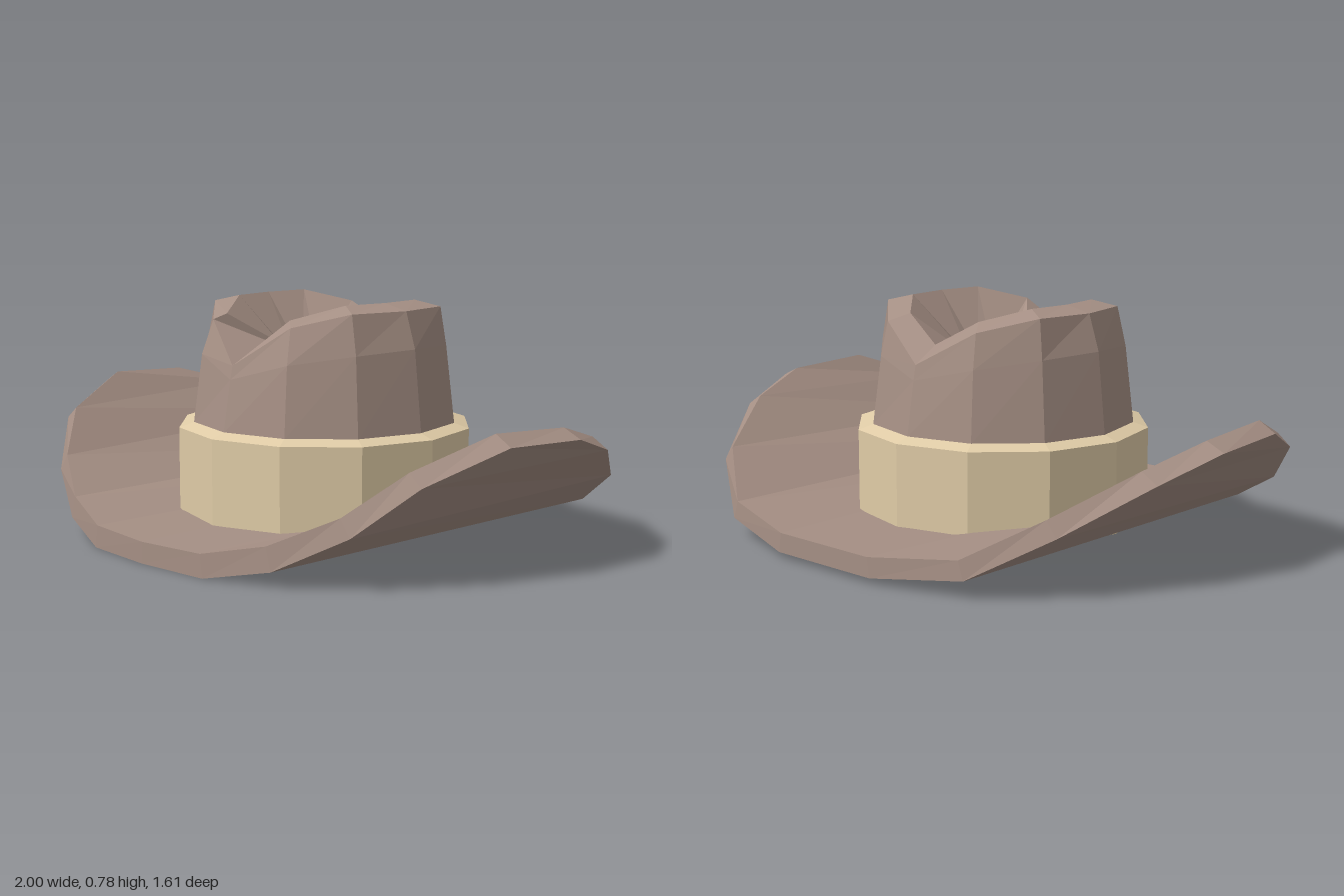
import * as THREE from 'three';

// flat-shaded mesh from a list of quads, each with corners counter-clockwise
function quadMesh(name, quads, color) {
  const pos = [];
  for (const [a, b, c, d] of quads) pos.push(...a, ...b, ...c, ...a, ...c, ...d);
  const geo = new THREE.BufferGeometry();
  geo.setAttribute('position', new THREE.Float32BufferAttribute(pos, 3));
  geo.computeVertexNormals();
  const mesh = new THREE.Mesh(geo, new THREE.MeshStandardMaterial({ color, flatShading: true }));
  mesh.name = name;
  return mesh;
}

const flip = ([x, y, z]) => [-x, y, z];

// mirror a half chain that starts on or beside the centre line
const bothSides = (centre, half) => [...half.map(flip).reverse(), centre, ...half];

// mirror a half ring running from front (+z) round +x to back
const fullRing = (half) => [...half, ...half.slice(1, -1).reverse().map(flip)];

// level twelve-sided half ring; y may be one height or seven
const level = (r, y) => Array.from({ length: 7 }, (_, i) => {
  const a = (i * Math.PI) / 6;
  return [r * Math.sin(a), Array.isArray(y) ? y[i] : y, r * Math.cos(a)];
});

function loft(halfRings) {
  const rings = halfRings.map(fullRing);
  const quads = [];
  for (let i = 0; i < rings.length - 1; i++) {
    const lo = rings[i], hi = rings[i + 1], n = lo.length;
    for (let j = 0; j < n; j++) {
      const k = (j + 1) % n;
      quads.push([lo[j], lo[k], hi[k], hi[j]]);
    }
  }
  return quads;
}

function createBrim(color) {
  // underside and upper edges, front and back, from the centre outwards
  const fb = bothSides([0, 0, 0.8],
    [[0.27, 0, 0.78], [0.5, 0.05, 0.71], [0.72, 0.17, 0.6], [0.87, 0.32, 0.46], [0.98, 0.42, 0.2]]);
  const ft = bothSides([0, 0.07, 0.8],
    [[0.26, 0.075, 0.78], [0.48, 0.125, 0.71], [0.68, 0.225, 0.6], [0.82, 0.36, 0.46], [0.92, 0.455, 0.2]]);
  const bb = bothSides([0, 0.02, -0.805],
    [[0.21, 0.02, -0.805], [0.53, 0.06, -0.73], [0.76, 0.2, -0.58], [0.93, 0.34, -0.33], [1, 0.41, -0.1]]);
  const bt = bothSides([0, 0.085, -0.805],
    [[0.2, 0.085, -0.805], [0.51, 0.12, -0.73], [0.72, 0.25, -0.58], [0.87, 0.375, -0.33], [0.935, 0.44, -0.1]]);
  const quads = [];
  const last = fb.length - 1;
  for (let i = 0; i < last; i++) {
    const k = i + 1;
    quads.push([ft[i], ft[k], bt[k], bt[i]]); // upper surface
    quads.push([bb[i], bb[k], fb[k], fb[i]]); // underside
    quads.push([fb[i], fb[k], ft[k], ft[i]]); // front edge
    quads.push([bb[k], bb[i], bt[i], bt[k]]); // back edge
  }
  quads.push([fb[last], bb[last], bt[last], ft[last]]);
  quads.push([bb[0], fb[0], ft[0], bt[0]]);
  return quadMesh('brim', quads, color);
}

function createCrown(color) {
  // shoulder and rim dip at front and back; the front rim is pinched inwards
  const shoulder = [[0, 0.585, 0.41], [0.19, 0.715, 0.33], [0.335, 0.76, 0.2], [0.38, 0.76, 0],
    [0.345, 0.76, -0.2], [0.2, 0.715, -0.34], [0, 0.6, -0.41]];
  const rim = [[0, 0.6, 0.12], [0.155, 0.735, 0.3], [0.26, 0.78, 0.155], [0.285, 0.78, 0],
    [0.27, 0.78, -0.155], [0.155, 0.74, -0.28], [0, 0.655, -0.32]];
  return quadMesh('crown', loft([
    level(0.45, 0.06),
    level(0.45, 0.37),
    level(0.42, [0.54, 0.6, 0.63, 0.64, 0.63, 0.6, 0.55]),
    shoulder,
    rim,
    level(0.11, [0.585, 0.575, 0.57, 0.57, 0.57, 0.57, 0.57]),
    level(0.001, 0.56),
  ]), color);
}

export function createModel() {
  const felt = 0xa58f84;
  const hat = new THREE.Group();
  hat.name = 'hat';
  const top = new THREE.Group();
  top.name = 'crownAndBand';
  top.position.set(-0.01, 0, 0.005);
  // band with a bevelled upper edge
  const band = quadMesh('band', loft([level(0.5, 0.05), level(0.5, 0.355), level(0.44, 0.375)]), 0xdfcba6);
  top.add(createCrown(felt), band);
  hat.add(createBrim(felt), top);
  return hat;
}
